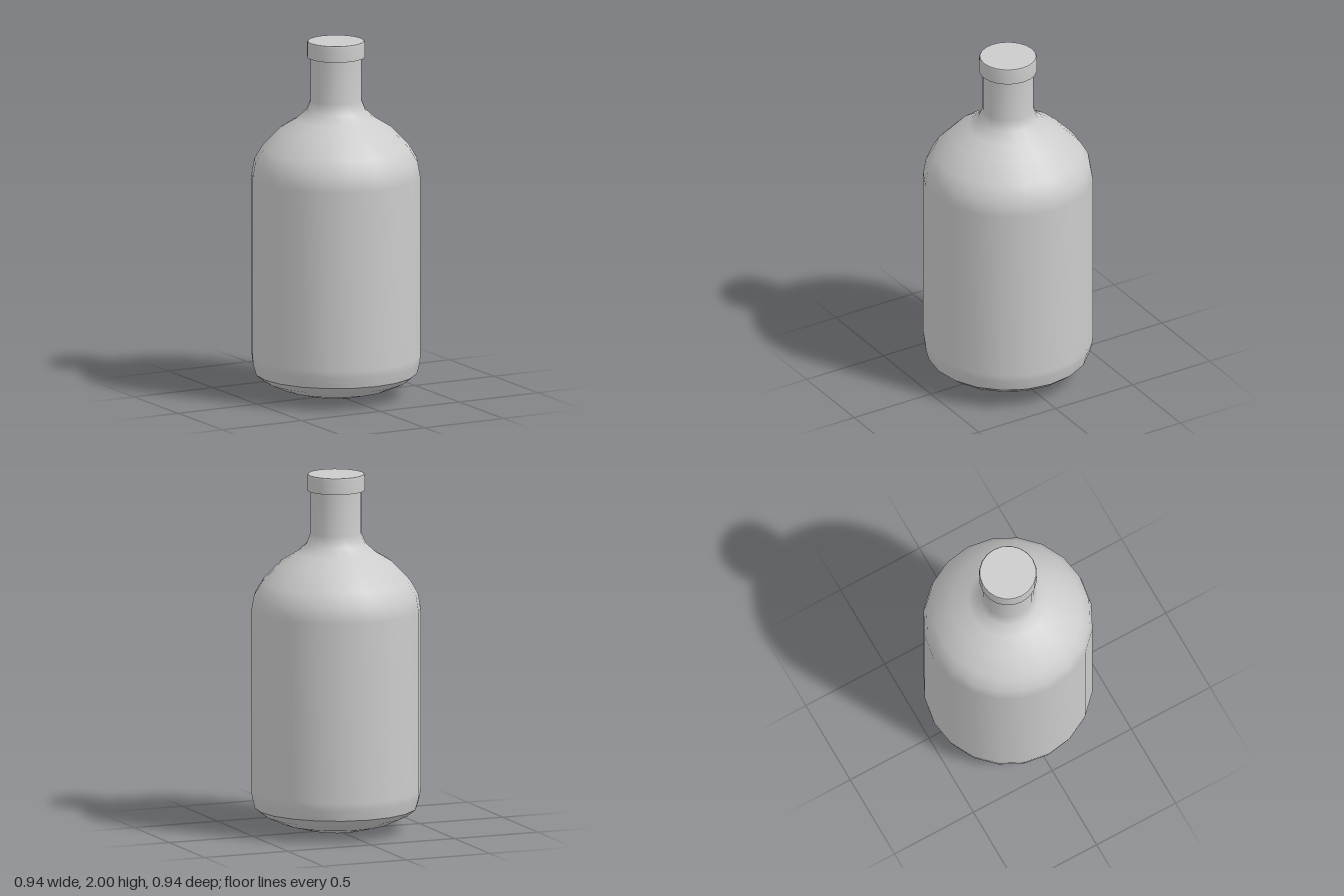
import * as THREE from 'three';

const SIDES = 20;
const material = new THREE.MeshStandardMaterial({ color: 0xcccccc });

// Turns a bottom-to-top [radius, height] profile into a smooth surface.
function turned(name, profile) {
  const points = profile.map(([r, y]) => new THREE.Vector2(r, y));
  const mesh = new THREE.Mesh(new THREE.LatheGeometry(points, SIDES), material);
  mesh.name = name;
  return mesh;
}

export function createModel() {
  const bottle = new THREE.Group();
  bottle.name = 'bottle';

  // Shallow domed base, meeting the body at a sharp edge
  bottle.add(turned('base', [[0, 0], [0.16, 0.01], [0.31, 0.05], [0.405, 0.093], [0.45, 0.13]]));

  // Straight body, rounded shoulder and neck
  bottle.add(turned('body', [
    [0.45, 0.13], [0.466, 0.19], [0.47, 0.23], [0.47, 1.24],
    [0.455, 1.325], [0.41, 1.4], [0.31, 1.505], [0.22, 1.56],
    [0.165, 1.61], [0.142, 1.67], [0.142, 1.91],
  ]));

  // Lip around the mouth, with sharp edges between its faces
  const lip = new THREE.Group();
  lip.name = 'lip';
  lip.add(
    turned('lipUnderside', [[0.142, 1.91], [0.16, 1.91]]),
    turned('lipSide', [[0.16, 1.91], [0.16, 1.993], [0.156, 2]]),
    turned('lipTop', [[0.156, 2], [0, 2]]),
  );
  bottle.add(lip);

  return bottle;
}
